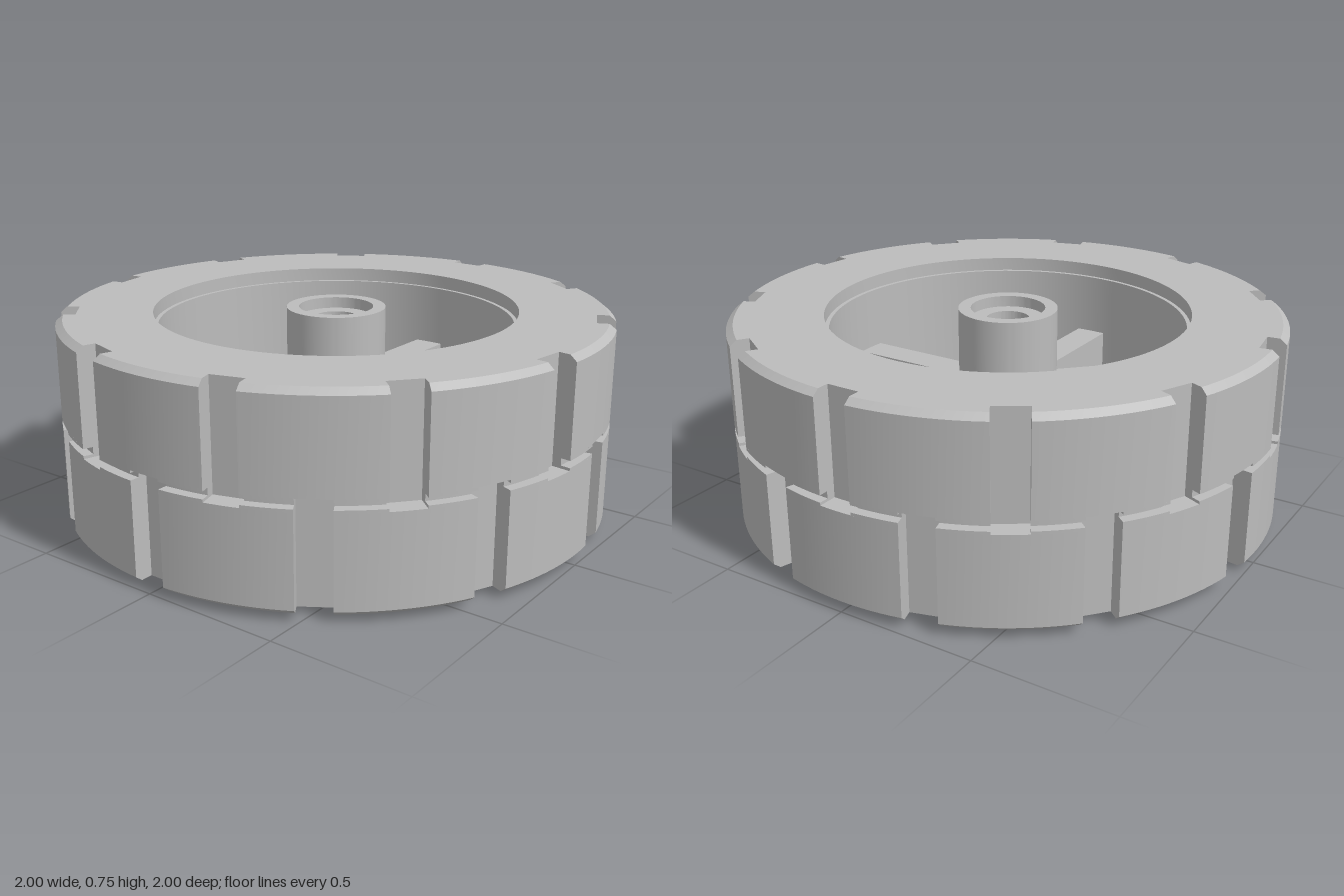
import * as THREE from 'three';
import { toCreasedNormals } from 'three/addons/utils/BufferGeometryUtils.js';

const HALF = 0.06;   // half width of a tread notch
const FLOOR = 0.93;  // distance of the notch floor from the axle
const STEP = (Math.PI * 2) / 11;

// Outline of a notched disc; every radius gives the same number of points.
function outline(radius, count, offset) {
  const points = [];
  const step = (Math.PI * 2) / count;
  const edge = Math.sqrt(radius * radius - HALF * HALF);
  const halfAngle = Math.asin(HALF / radius);
  const segments = 132 / count;
  for (let i = 0; i < count; i++) {
    const a = offset + i * step, c = Math.cos(a), s = Math.sin(a);
    for (const [r, t] of [[edge, -HALF], [FLOOR, -HALF], [FLOOR, HALF], [edge, HALF]]) {
      points.push(new THREE.Vector2(r * c - t * s, r * s + t * c));
    }
    for (let k = 1; k < segments; k++) {
      const b = a + halfAngle + ((step - 2 * halfAngle) * k) / segments;
      points.push(new THREE.Vector2(radius * Math.cos(b), radius * Math.sin(b)));
    }
  }
  return points;
}

// Side wall through a list of [height, radius] levels.
function wall(levels, count, offset) {
  const positions = [];
  const rings = levels.map(([y, r]) => outline(r, count, offset).map((p) => [p.x, y, p.y]));
  for (let j = 0; j + 1 < rings.length; j++) {
    const low = rings[j], high = rings[j + 1];
    for (let i = 0; i < low.length; i++) {
      const n = (i + 1) % low.length;
      positions.push(...low[i], ...high[i], ...low[n], ...low[n], ...high[i], ...high[n]);
    }
  }
  const geometry = new THREE.BufferGeometry();
  geometry.setAttribute('position', new THREE.Float32BufferAttribute(positions, 3));
  return toCreasedNormals(geometry, 0.5);
}

// Flat ring between the notched outline and a round hole.
function cap([y, radius], hole, count, offset, up) {
  const shape = new THREE.Shape(outline(radius, count, offset));
  shape.holes.push(new THREE.Path().absarc(0, 0, hole, 0, Math.PI * 2, true));
  const geometry = new THREE.ShapeGeometry(shape, 48);
  geometry.rotateX(up ? -Math.PI / 2 : Math.PI / 2);
  return geometry.translate(0, y, 0);
}

function lathe(profile) {
  const points = profile.map(([x, y]) => new THREE.Vector2(x, y));
  return toCreasedNormals(new THREE.LatheGeometry(points, 96).toNonIndexed(), 0.5);
}

export function createModel() {
  const model = new THREE.Group();
  model.name = 'wheel';
  const grey = new THREE.MeshStandardMaterial({ color: 0xbcbcbc });
  grey.name = 'grey';

  const add = (name, geometry, parent = model) => {
    const mesh = new THREE.Mesh(geometry, grey);
    mesh.name = name;
    parent.add(mesh);
    return mesh;
  };

  // Tyre: two staggered tread rows, with a groove where both sets of notches overlap
  const layers = [
    { name: 'lowerTread', count: 11, offset: STEP / 2, levels: [[0.02, 0.975], [0.04, 1], [0.365, 1]], bottom: 0.645, top: 0.9 },
    { name: 'lowerGrooveLip', count: 22, offset: 0, levels: [[0.365, 1], [0.375, 1]], top: 0.9 },
    { name: 'groove', count: 22, offset: 0, levels: [[0.375, 0.965], [0.4, 0.965]] },
    { name: 'upperGrooveLip', count: 22, offset: 0, levels: [[0.4, 1], [0.41, 1]], bottom: 0.9 },
    { name: 'upperTread', count: 11, offset: 0, levels: [[0.41, 1], [0.73, 1], [0.75, 0.975]], bottom: 0.9, top: 0.66 },
  ];
  for (const { name, count, offset, levels, bottom, top } of layers) {
    const group = new THREE.Group();
    group.name = name;
    model.add(group);
    add(name + 'Wall', wall(levels, count, offset), group);
    if (bottom) add(name + 'Bottom', cap(levels[0], bottom, count, offset, false), group);
    if (top) add(name + 'Top', cap(levels[levels.length - 1], top, count, offset, true), group);
  }

  // Inside of the rim, with a small step near the top
  add('rimInside', lathe([[0.66, 0.75], [0.66, 0.7], [0.645, 0.7], [0.645, 0.02]]));

  // Hub with a through bore and a counterbore on top
  add('hub', lathe([
    [0.078, 0], [0.18, 0], [0.18, 0.75], [0.135, 0.75],
    [0.135, 0.71], [0.078, 0.71], [0.078, 0],
  ]));

  // Eight spokes
  const spoke = new THREE.BoxGeometry(0.49, 0.165, 0.115).translate(0.405, 0.39, 0);
  for (let i = 0; i < 8; i++) {
    add('spoke', spoke).rotation.y = (i * Math.PI) / 4;
  }
  return model;
}
